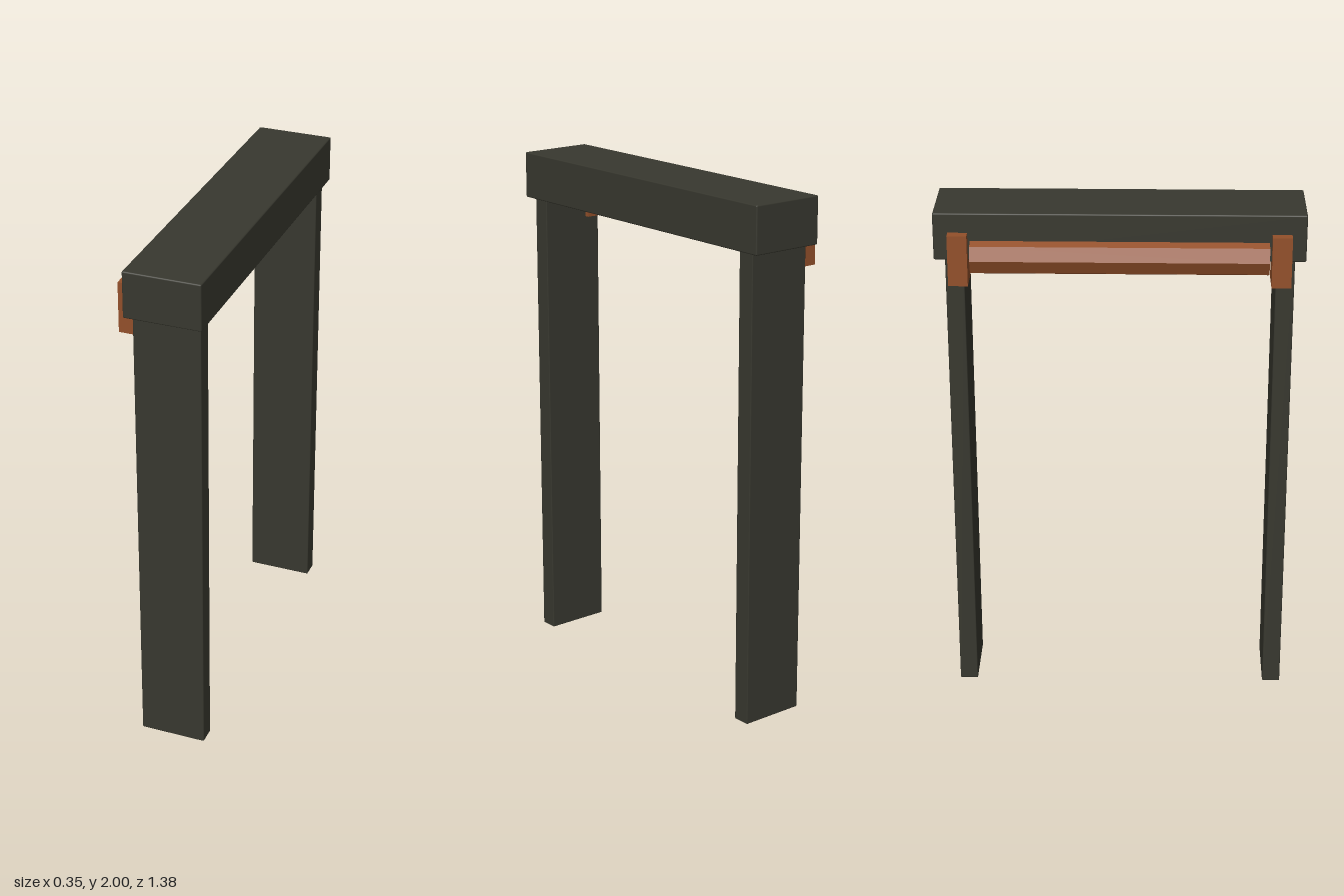
import * as THREE from 'three';
import { RoundedBoxGeometry } from 'three/addons/geometries/RoundedBoxGeometry.js';

export function createModel() {
  const model = new THREE.Group();
  model.name = 'gateFrame';

  const darkWood = new THREE.MeshStandardMaterial({ color: 0x38382f });
  darkWood.name = 'darkWood';
  const brownWood = new THREE.MeshStandardMaterial({ color: 0x93502a });
  brownWood.name = 'brownWood';

  const add = (name, geometry, material, x, y, z) => {
    const mesh = new THREE.Mesh(geometry, material);
    mesh.name = name;
    mesh.position.set(x, y, z);
    model.add(mesh);
    return mesh;
  };

  // Lintel across the top, with slightly eased edges
  add('lintel', new RoundedBoxGeometry(0.295, 0.18, 1.376, 1, 0.005), darkWood, 0.023, 1.91, 0);

  // Posts and the brackets that hold the roller, one of each per end
  const rollerX = -0.103, rollerY = 1.832;
  for (const [side, s] of [['front', 1], ['back', -1]]) {
    add(side + 'Post', new RoundedBoxGeometry(0.257, 1.83, 0.07, 1, 0.004), darkWood, 0.024, 0.915, s * 0.613);
    add(side + 'Bracket', new THREE.BoxGeometry(0.122, 0.195, 0.073), brownWood, rollerX, 1.829, s * 0.597);
  }

  // Eight-sided roller, half sunk into the lintel
  const rollerGeometry = new THREE.CylinderGeometry(0.072, 0.072, 1.104, 8).toNonIndexed();
  rollerGeometry.computeVertexNormals();
  rollerGeometry.rotateX(Math.PI / 2);
  add('roller', rollerGeometry, brownWood, rollerX, rollerY, 0);

  return model;
}
